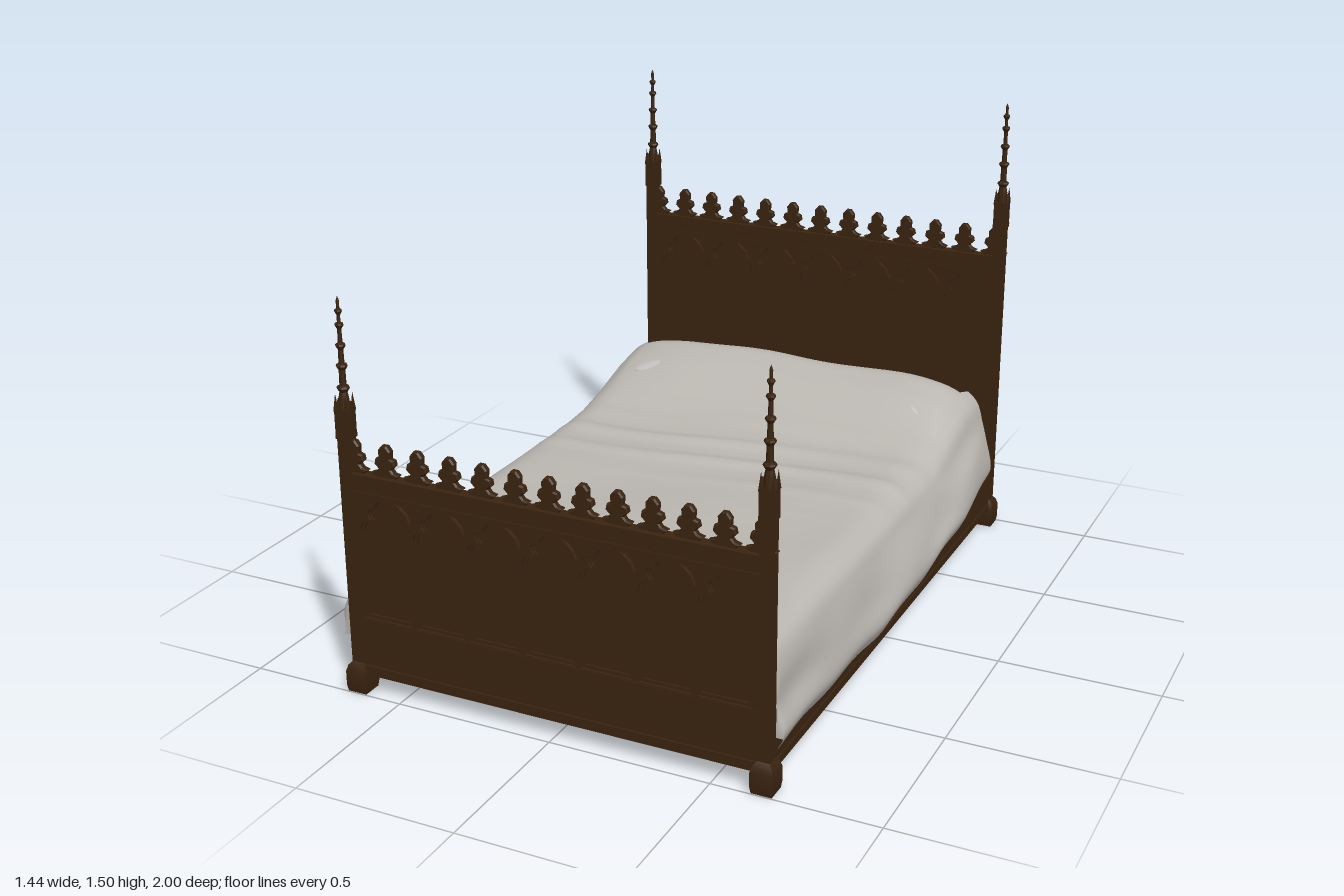
import * as THREE from 'three';
import { toCreasedNormals } from 'three/addons/utils/BufferGeometryUtils.js';
import { RoundedBoxGeometry } from 'three/addons/geometries/RoundedBoxGeometry.js';

const wood = new THREE.MeshStandardMaterial({ color: 0x3a2410 });
wood.name = 'dark oak';
const linen = new THREE.MeshStandardMaterial({ color: 0xbab6b0, side: THREE.DoubleSide });
linen.name = 'grey linen';
const sheet = new THREE.MeshStandardMaterial({ color: 0xc4c0be, side: THREE.DoubleSide });
sheet.name = 'pale linen';

function add(parent, name, geo, mat, x = 0, y = 0, z = 0) {
  const m = new THREE.Mesh(geo, mat);
  m.name = name;
  m.position.set(x, y, z);
  parent.add(m);
  return m;
}

// box given by its min and max corners
function box(parent, name, x0, x1, y0, y1, z0, z1) {
  return add(parent, name, new THREE.BoxGeometry(x1 - x0, y1 - y0, z1 - z0), wood,
    (x0 + x1) / 2, (y0 + y1) / 2, (z0 + z1) / 2);
}

// turned piece with crisp edges; four sides are squared to the axes
function turned(profile, sides) {
  const g = new THREE.LatheGeometry(profile.map(p => new THREE.Vector2(p[0], p[1])), sides);
  g.rotateY(Math.PI / sides);
  return toCreasedNormals(g, 0.4);
}

// piecewise linear lookup in a table of [key, value], keys ascending
function lookup(table, k) {
  if (k <= table[0][0]) return table[0][1];
  for (let i = 1; i < table.length; i++) {
    const [a, va] = table[i - 1], [b, vb] = table[i];
    if (k <= b) return va + (vb - va) * (k - a) / (b - a);
  }
  return table[table.length - 1][1];
}

// lancet opening with a trefoil head
function lancet(cx, y0, top, w) {
  const p = new THREE.Path();
  const s = w / 0.08;
  p.moveTo(cx - w, y0);
  p.lineTo(cx + w, y0);
  p.lineTo(cx + w, top - 0.12);
  p.quadraticCurveTo(cx + w, top - 0.085, cx + 0.042 * s, top - 0.078);
  p.bezierCurveTo(cx + 0.064 * s, top - 0.06, cx + 0.05 * s, top - 0.035, cx + 0.028 * s, top - 0.04);
  p.quadraticCurveTo(cx + 0.026 * s, top - 0.022, cx, top - 0.008 / s);
  p.quadraticCurveTo(cx - 0.026 * s, top - 0.022, cx - 0.028 * s, top - 0.04);
  p.bezierCurveTo(cx - 0.05 * s, top - 0.035, cx - 0.064 * s, top - 0.06, cx - 0.042 * s, top - 0.078);
  p.quadraticCurveTo(cx - w, top - 0.085, cx - w, top - 0.12);
  p.closePath();
  return p;
}

// pierced plate of seven lancets
function tracery(y0, top, w, depth) {
  const plate = new THREE.Shape([[-0.635, y0], [0.635, y0], [0.635, top], [-0.635, top]]
    .map(p => new THREE.Vector2(...p)));
  for (let i = -3; i <= 3; i++) {
    plate.holes.push(lancet(i * 0.178, y0 + 0.088 - w, top, w));
    if (i < 3) {
      const x = (i + 0.5) * 0.178, t = top - 0.01;
      plate.holes.push(new THREE.Path([[x - 0.045, t], [x, t - 0.012], [x + 0.045, t], [x + 0.012, t - 0.03],
        [x, t - 0.058], [x - 0.012, t - 0.03]].map(p => new THREE.Vector2(...p))));
    }
  }
  return new THREE.ExtrudeGeometry(plate, { depth, bevelEnabled: false, curveSegments: 5 });
}

// leafy crest ornament, standing on y = 0
const half = [[0.034, 0], [0.05, 0.012], [0.03, 0.018], [0.022, 0.027], [0.037, 0.04], [0.033, 0.056],
  [0.02, 0.06], [0.022, 0.082], [0.008, 0.098]];
const crestShape = new THREE.Shape([...half, ...half.slice().reverse().map(([x, y]) => [-x, y])]
  .map(p => new THREE.Vector2(p[0] * 0.92, p[1])));
const crestGeo = new THREE.ExtrudeGeometry(crestShape,
  { depth: 0.012, bevelEnabled: true, bevelThickness: 0.006, bevelSize: 0.003, bevelOffset: -0.003, bevelSegments: 1 });
crestGeo.translate(0, 0, -0.006);

// corner post with foot, gabled niche and crocketed spire; h is the top of the board
function post(h) {
  const g = new THREE.Group();
  g.name = 'post';
  const r = Math.SQRT2;
  add(g, 'foot', turned([[0, 0], [0.031 * r, 0], [0.034 * r, 0.02], [0.034 * r, 0.065], [0.028 * r, 0.085],
    [0.019 * r, 0.096]], 4), wood);
  box(g, 'shaft', -0.019, 0.019, 0.08, h + 0.13, -0.019, 0.019);
  const b = h + 0.1;
  box(g, 'nicheBase', -0.022, 0.022, b, b + 0.012, -0.022, 0.022);
  const gable = new THREE.ExtrudeGeometry(new THREE.Shape([[-0.014, 0], [0.014, 0], [0.014, 0.06], [0, 0.105],
    [-0.014, 0.06]].map(p => new THREE.Vector2(...p))), { depth: 0.044, bevelEnabled: false });
  gable.translate(0, 0, -0.022);
  for (let i = 0; i < 2; i++) add(g, 'gable', gable, wood, 0, b + 0.01, 0).rotation.y = i * Math.PI / 2;
  const pinnacle = turned([[0.006, 0], [0.006, 0.07], [0.008, 0.072], [0, 0.125]], 4);
  for (const x of [-1, 1]) for (const z of [-1, 1]) add(g, 'pinnacle', pinnacle, wood, x * 0.017, b + 0.01, z * 0.017);
  // spire with crocket rings
  const line = [[0.02, 0], [0.015, 0.12]];
  for (const [y, q] of [[0.15, 0.019], [0.215, 0.017], [0.275, 0.015], [0.335, 0.013], [0.375, 0.011]]) {
    const core = 0.016 - y * 0.03;
    line.push([core, y - 0.012], [q, y], [q * 0.9, y + 0.005], [core * 0.9, y + 0.008]);
  }
  line.push([0.005, 0.405], [0, 0.42]);
  add(g, 'spire', turned(line, 8), wood, 0, h + 0.1, 0);
  return g;
}

// carved end board facing +z; h is the top of its rail
function endBoard(name, h, ribs) {
  const g = new THREE.Group();
  g.name = name;
  const top = h - 0.06;
  box(g, 'backPanel', -0.64, 0.64, 0.06, h - 0.02, -0.012, 0.002);
  box(g, 'skirt', -0.64, 0.64, 0.06, 0.24, -0.016, 0.012);
  box(g, 'skirtMoulding', -0.64, 0.64, 0.06, 0.09, -0.02, 0.018);
  box(g, 'panelSill', -0.635, 0.635, 0.232, 0.244, -0.018, 0.017);
  box(g, 'topRail', -0.64, 0.64, top, h, -0.016, 0.016);
  box(g, 'railLip', -0.64, 0.64, top - 0.002, top + 0.008, -0.018, 0.019);
  box(g, 'railCap', -0.64, 0.64, h - 0.012, h, -0.02, 0.02);
  add(g, 'outerTracery', tracery(0.24, top, 0.08, 0.013), wood, 0, 0, 0.002);
  add(g, 'innerTracery', tracery(0.24, top, 0.07, 0.006), wood, 0, 0, 0.002);
  for (let i = -6; i <= 6; i++) add(g, 'crest', crestGeo, wood, i * 0.105, h - 0.002, -0.006);
  if (ribs) for (let i = -3; i <= 4; i++) {
    const x = (i - 0.5) * 0.178;
    box(g, 'backRib', x - 0.009, x + 0.009, 0.24, top, -0.017, -0.01);
  }
  for (const s of [-1, 1]) {
    const p = post(h);
    p.position.x = s * 0.65;
    g.add(p);
  }
  return g;
}

// draped blanket from cross-sections along z
function blanketGeometry() {
  const height = [[-0.81, 0.555], [-0.79, 0.578], [-0.75, 0.588], [-0.65, 0.56], [-0.5, 0.49], [-0.38, 0.45],
    [-0.25, 0.437], [0.1, 0.432], [0.9, 0.434], [0.92, 0.43], [0.935, 0.41]];
  const rows = 72, cols = 72, pos = [], idx = [];
  for (let i = 0; i <= rows + 1; i++) {
    const t = Math.min(i / rows, 1), z = -0.79 + 1.727 * t;
    const H = lookup(height, z), lift = Math.max(0, H - 0.432);
    const sides = [-1, 1].map(s => {
      const hem = lookup([[-0.8, 0.215], [-0.4, 0.175], [0.2, s < 0 ? 0.165 : 0.13], [0.94, s < 0 ? 0.17 : 0.12]], z)
        + 0.006 * Math.sin(z * 17 + s);
      const out = s < 0 ? 0.722 : lookup([[-0.8, 0.7], [-0.5, 0.722], [0, 0.722], [0.6, 0.695], [0.94, 0.69]], z);
      const mid = (H + hem) / 2, sway = 0.006 * Math.sin(z * 11 + s * 2);
      return new THREE.CatmullRomCurve3([[0, H], [0.25, H], [0.46, H - lift * 0.05], [0.585, H - 0.006 - lift * 0.2],
        [0.64, H - 0.035 - lift * 0.3], [0.664, mid + 0.06 - lift * 0.2], [out - 0.018 + sway, mid - 0.03],
        [out, hem + 0.05], [out - (s < 0 ? 0.004 : 0.02), hem]].map(p => new THREE.Vector3(p[0], p[1], 0)));
    });
    for (let j = 0; j <= cols; j++) {
      const s = j / cols * 2 - 1, p = sides[s < 0 ? 0 : 1].getPoint(Math.abs(s));
      const x = Math.sign(s) * p.x, flat = THREE.MathUtils.smoothstep(0.68 - Math.abs(x), 0, 0.15);
      // crosswise folds near the middle and soft dips elsewhere
      const fold = Math.exp(-(((z + 0.18) / 0.17) ** 2));
      let y = p.y + flat * (0.013 * fold * Math.max(0, Math.sin(z * 42 + x * 3 + Math.sin(x * 5)))
        + 0.004 * Math.sin(x * 9 + z * 4) * Math.sin(z * 6));
      if (i > rows) y = Math.min(y, 0.15);
      const edge = (1 - t) ** 8 * (Math.abs(x) > 0.6 ? -0.04 : 0.006 * Math.sin(x * 14));
      pos.push(x, y, z + edge);
    }
  }
  const n = cols + 1;
  for (let i = 0; i <= rows; i++) for (let j = 0; j < cols; j++) {
    const a = i * n + j;
    idx.push(a, a + n, a + 1, a + 1, a + n, a + n + 1);
  }
  const g = new THREE.BufferGeometry();
  g.setAttribute('position', new THREE.Float32BufferAttribute(pos, 3));
  g.setIndex(idx);
  g.computeVertexNormals();
  return g;
}

// pillow: a sphere squared off with pinched edges
function pillowGeometry() {
  const g = new THREE.SphereGeometry(1, 36, 20);
  const p = g.attributes.position;
  for (let i = 0; i < p.count; i++) {
    const x = p.getX(i), y = p.getY(i), z = p.getZ(i);
    const m = Math.max(Math.abs(x), Math.abs(z), 1e-6), k = Math.hypot(x, z) / m;
    const u = x * k, v = z * k;
    p.setXYZ(i, 0.275 * u * (1 - 0.06 * (1 - v * v)), 0.068 * y * Math.sqrt(Math.abs(y)),
      0.185 * v * (1 - 0.12 * (1 - u * u)));
  }
  g.computeVertexNormals();
  return g;
}

export function createModel() {
  const bed = new THREE.Group();
  bed.name = 'bed';
  const foot = endBoard('footboard', 0.70, false);
  foot.position.z = 0.965;
  const head = endBoard('headboard', 0.98, true);
  head.position.z = -0.965;
  bed.add(foot, head);
  // side rails and base
  for (const s of [-1, 1]) {
    const rail = new THREE.Group();
    rail.name = 'sideRail';
    box(rail, 'railBoard', -0.014, 0.014, 0.06, 0.24, -0.95, 0.95);
    box(rail, 'railMoulding', -0.018, 0.018, 0.06, 0.085, -0.95, 0.95);
    rail.position.x = s * 0.652;
    bed.add(rail);
  }
  box(bed, 'baseBoard', -0.645, 0.645, 0.062, 0.085, -0.96, 0.96);
  // bedding
  add(bed, 'mattress', new RoundedBoxGeometry(1.25, 0.33, 1.87, 3, 0.03), sheet, 0, 0.255, -0.008);
  for (const x of [-0.295, 0.29]) add(bed, 'pillow', pillowGeometry(), sheet, x, 0.492, -0.752).rotation.x = -0.12;
  add(bed, 'blanket', blanketGeometry(), linen);
  return bed;
}
